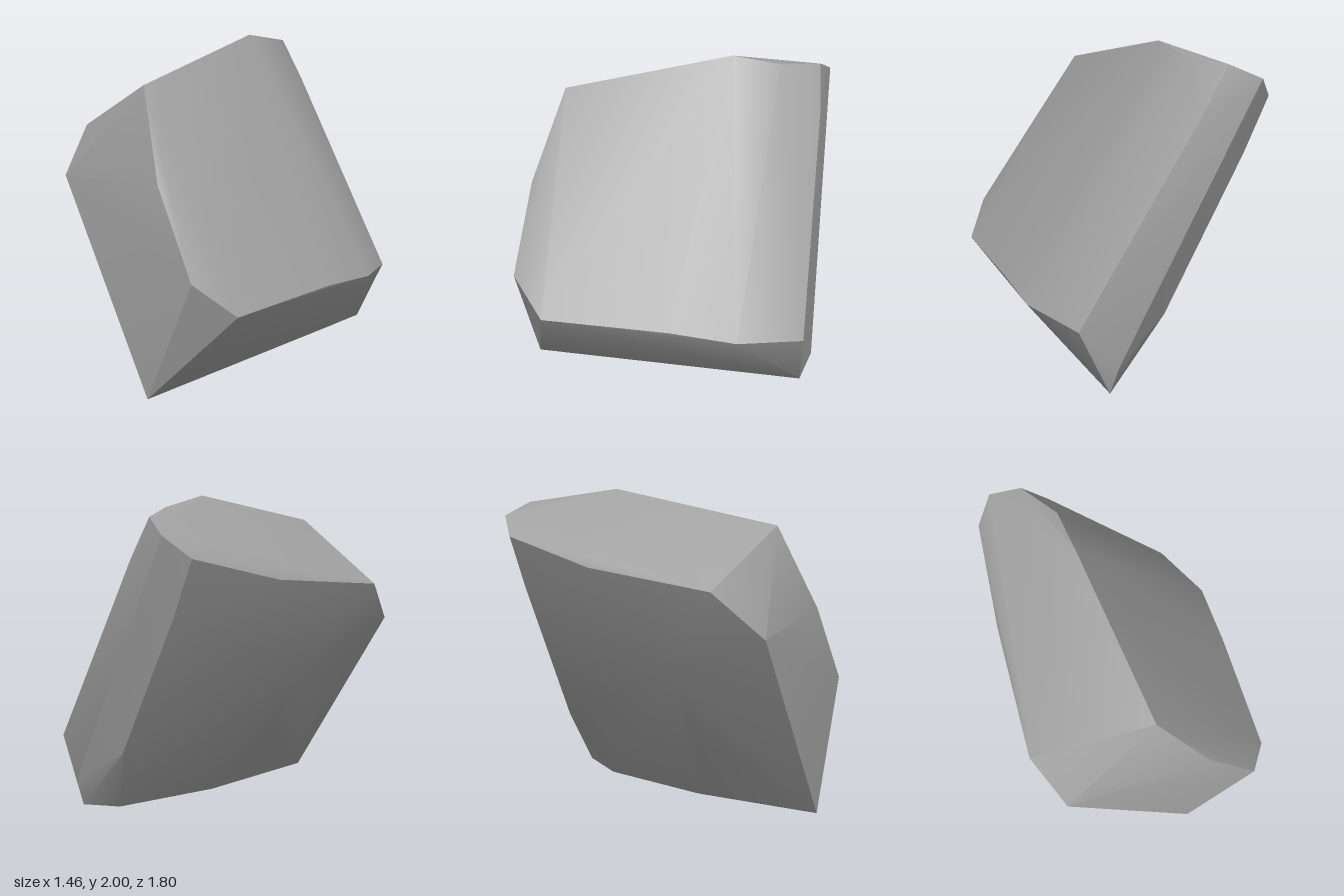
import * as THREE from 'three';
import { ConvexGeometry } from 'three/addons/geometries/ConvexGeometry.js';
import { toCreasedNormals } from 'three/addons/utils/BufferGeometryUtils.js';

// Corners of the chipped stone slab, grouped by the rim they belong to
const corners = {
  topCap: [[-0.17, 2, -0.31], [-0.03, 1.79, 0.69], [-0.73, 1.46, 0.58], [-0.7, 1.56, -0.2],
    [-0.64, 1.72, -0.78], [-0.53, 1.84, -0.89], [-0.35, 1.92, -0.83], [-0.2, 1.95, -0.6]],
  frontFace: [[-0.6, 1.2, 0.85], [0.26, 1.28, 0.85], [0.58, 0.8, 0.9], [0.19, 0, 0.9]],
  lowerEnd: [[0.73, 0.6, 0.7], [0.73, 0.59, -0.07], [0.72, 0.55, -0.47], [0.55, 0.5, -0.85],
    [0.36, 0.09, -0.84], [0.28, 0.04, -0.62], [0.2, 0.005, 0.08]],
  backFace: [[-0.2, 1.68, -0.85], [0.33, 0.27, -0.9]],
  underside: [[-0.47, 0.93, 0.2], [-0.17, 0.5, 0.25], [-0.49, 1.4, -0.78], [0, 0.5, -0.79]],
};

export function createModel() {
  const group = new THREE.Group();
  group.name = 'rock';

  const stone = new THREE.MeshStandardMaterial({ color: 0xa0a0a0 });
  stone.name = 'stone grey';

  // One convex boulder: gentle bends stay smooth, fractures stay sharp
  const points = Object.values(corners).flat().map((p) => new THREE.Vector3(...p));
  const geometry = toCreasedNormals(new ConvexGeometry(points), THREE.MathUtils.degToRad(30));
  const boulder = new THREE.Mesh(geometry, stone);
  boulder.name = 'boulder';
  group.add(boulder);
  return group;
}
